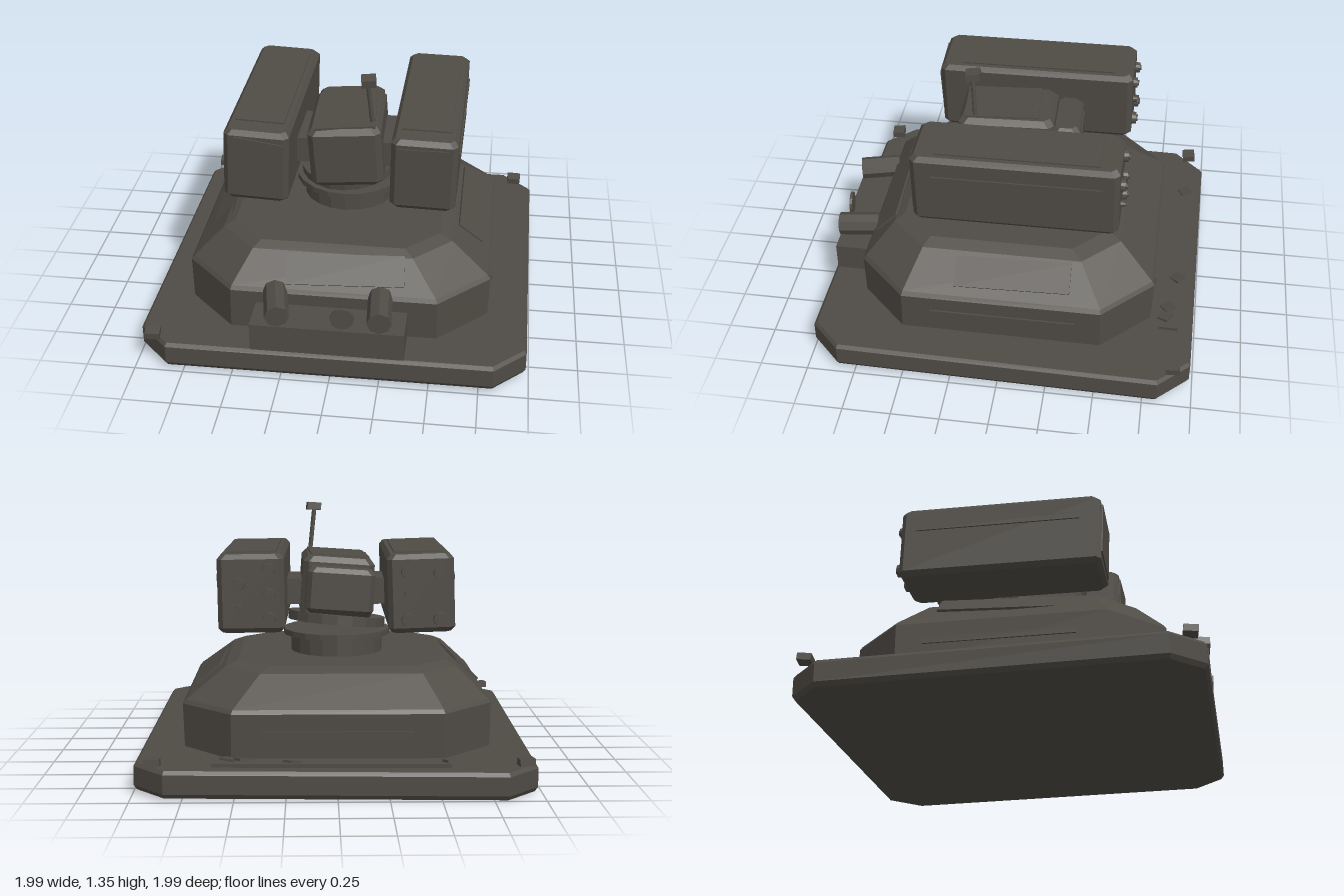
import * as THREE from 'three';

const armour = new THREE.MeshStandardMaterial({ color: 0x4f4b45, flatShading: true });
armour.name = 'armourGrey';

// Mesh helper: name, geometry, position, rotation
function add(parent, name, geo, pos = [0, 0, 0], rot = [0, 0, 0]) {
  const m = new THREE.Mesh(geo, armour);
  m.name = name;
  m.position.set(...pos);
  m.rotation.set(...rot);
  parent.add(m);
  return m;
}
const box = (w, h, d) => new THREE.BoxGeometry(w, h, d);
const cyl = (r, h, n = 16, r2 = r) => new THREE.CylinderGeometry(r, r2, h, n);

// Loft through octagonal rings, each [y, x0, x1, z0, z1, cornerCut]
function loft(rings) {
  const loops = rings.map(([y, x0, x1, z0, z1, c]) => [
    [x1, z1 - c], [x1, z0 + c], [x1 - c, z0], [x0 + c, z0],
    [x0, z0 + c], [x0, z1 - c], [x0 + c, z1], [x1 - c, z1],
  ].map(([x, z]) => [x, y, z]));
  const v = [];
  const tri = (a, b, c) => v.push(...a, ...b, ...c);
  for (let k = 0; k + 1 < loops.length; k++) {
    const lo = loops[k], up = loops[k + 1];
    for (let i = 0; i < 8; i++) {
      const j = (i + 1) % 8;
      tri(lo[i], lo[j], up[j]);
      tri(lo[i], up[j], up[i]);
    }
  }
  const bottom = loops[0], top = loops[loops.length - 1];
  for (let i = 1; i < 7; i++) {
    tri(top[0], top[i], top[i + 1]);
    tri(bottom[0], bottom[i + 1], bottom[i]);
  }
  const g = new THREE.BufferGeometry();
  g.setAttribute('position', new THREE.Float32BufferAttribute(v, 3));
  g.computeVertexNormals();
  return g;
}

// Box with all edges bevelled by b, centred on the origin
function bevelBox(w, h, d, b) {
  const x = w / 2, y = h / 2, z = d / 2, i = b * 0.8;
  return loft([
    [-y, -x + i, x - i, -z + i, z - i, b],
    [-y + b, -x, x, -z, z, b],
    [y - b, -x, x, -z, z, b],
    [y, -x + i, x - i, -z + i, z - i, b],
  ]);
}

// Launcher pod with lid, front door, side rib and rear nozzles
function makePod(name, x, roll, doorRoll, nozzles) {
  const pod = new THREE.Group();
  const s = Math.sign(x);
  pod.name = name;
  pod.position.set(x, 1.436, -0.04);
  pod.rotation.set(0.015, -0.012, roll);
  add(pod, 'podBody', bevelBox(0.335, 0.395, 1.05, 0.025));
  add(pod, 'podLid', box(0.25, 0.012, 0.83), [0, 0.199, -0.01]);
  add(pod, 'podDoor', box(0.25, 0.3, 0.014), [0, 0.005, 0.526], [0, 0, doorRoll]);
  add(pod, 'podRib', box(0.012, 0.035, 0.86), [s * 0.17, 0.075, -0.01]);
  for (const [nx, ny, r] of nozzles) {
    add(pod, 'nozzle', cyl(r, 0.035, 12, r * 0.9), [nx, ny, -0.53], [Math.PI / 2, 0, 0]);
    add(pod, 'nozzleCore', cyl(r * 0.5, 0.01, 10), [nx, ny, -0.55], [Math.PI / 2, 0, 0]);
  }
  return pod;
}

export function createModel() {
  const model = new THREE.Group();
  model.name = 'launcherTurret';

  // Base slab, slightly tilted
  add(model, 'baseSlab', loft([
    [-0.068, -0.975, 0.975, -0.975, 0.975, 0.15],
    [-0.045, -0.99, 0.99, -0.99, 0.99, 0.16],
    [0.05, -0.99, 0.99, -0.99, 0.99, 0.16],
    [0.068, -0.975, 0.975, -0.975, 0.975, 0.15],
  ]), [0, 0.583, 0], [-0.008, -0.008, 0.008]);

  // Corner blocks on three corners
  for (const [x, z, r] of [[-0.91, -0.91, 0.1], [0.895, -0.895, 0], [-0.915, 0.915, 0.1]]) {
    add(model, 'cornerBlock', box(0.075, 0.035, 0.07), [x, 0.672, z], [0.08, r, -0.05]);
  }

  // Rear deck strip with small loose plates
  add(model, 'rearDeckStrip', box(1.16, 0.02, 0.1), [0.03, 0.656, -0.865], [0, -0.012, 0]);
  for (const [x, z, r] of [[0.46, -0.85, 0.6], [0.53, -0.84, -0.5], [0.22, -0.89, 0.8], [-0.55, -0.9, 0.4]]) {
    add(model, 'deckPlate', box(0.07, 0.012, 0.06), [x, 0.672, z], [0.15, r, 0.1]);
  }

  // Hull with sloped shoulders
  add(model, 'hull', loft([
    [0.65, -0.785, 0.775, -0.76, 0.78, 0.25],
    [0.875, -0.79, 0.782, -0.768, 0.785, 0.26],
    [0.895, -0.775, 0.765, -0.755, 0.77, 0.25],
    [1.04, -0.625, 0.575, -0.575, 0.635, 0.19],
    [1.065, -0.57, 0.51, -0.5, 0.585, 0.17],
  ]));

  // Plates lying on the shoulders
  add(model, 'frontShoulderPlate', box(0.6, 0.16, 0.012), [0.05, 0.985, 0.7], [-0.78, 0, 0.04]);
  add(model, 'leftShoulderPlate', box(0.012, 0.16, 0.6), [0.665, 0.985, -0.04], [0.03, 0, 0.92]);
  add(model, 'rightShoulderPlate', box(0.012, 0.16, 0.66), [-0.668, 1.005, 0.01], [0.02, 0.05, -0.84]);

  // Long ribs on the hull walls
  for (const x of [-0.79, 0.782]) add(model, 'sideRib', box(0.014, 0.03, 0.75), [x, 0.78, 0]);
  add(model, 'rearRib', box(0.75, 0.03, 0.014), [0, 0.775, -0.768]);

  // Front equipment box and lamps
  add(model, 'frontBox', box(0.775, 0.15, 0.22), [-0.012, 0.735, 0.87]);
  add(model, 'rightLamp', cyl(0.062, 0.22, 8), [-0.28, 0.875, 0.87], [Math.PI / 2 + 0.05, 0, -0.2]);
  add(model, 'leftLamp', cyl(0.062, 0.22, 8), [0.243, 0.877, 0.87], [Math.PI / 2 + 0.05, 0, -0.07]);
  add(model, 'middleLamp', cyl(0.06, 0.015, 12), [0.065, 0.873, 0.96], [Math.PI / 2, 0, -0.1]);

  // Turret neck, flange and tilted turntable
  add(model, 'neck', cyl(0.246, 0.12, 20), [-0.01, 1.105, 0]);
  add(model, 'flange', cyl(0.288, 0.03, 20), [-0.01, 1.172, 0]);
  add(model, 'turntable', cyl(0.262, 0.05, 20), [-0.01, 1.238, 0], [0.08, 0, 0.09]);

  // Central housing with lid and rear block
  const head = new THREE.Group();
  head.name = 'head';
  head.position.set(-0.005, 1.415, 0.07);
  head.rotation.set(0.01, 0.03, 0.07);
  add(head, 'housing', bevelBox(0.38, 0.33, 0.5, 0.03));
  add(head, 'housingLid', box(0.31, 0.014, 0.39), [0, 0.166, 0.03], [0, 0.04, 0]);
  add(head, 'rearBlock', bevelBox(0.355, 0.24, 0.15, 0.025), [-0.01, 0, -0.31]);
  add(head, 'rearVent', box(0.25, 0.14, 0.014), [0, 0, -0.387]);
  model.add(head);

  // Cross beam joining the pods
  add(model, 'crossBeam', box(0.56, 0.138, 0.317), [0, 1.396, 0.052]);

  // Pods
  model.add(makePod('rightPod', -0.43, -0.035, -0.11,
    [[0.07, -0.13, 0.036], [-0.09, -0.13, 0.036], [0.07, 0, 0.018], [-0.09, 0.1, 0.03], [0.07, 0.11, 0.03]]));
  model.add(makePod('leftPod', 0.422, -0.015, 0.02,
    [[-0.09, 0.12, 0.034], [-0.09, -0.005, 0.034], [-0.09, -0.125, 0.034], [0.06, 0.05, 0.034], [0.06, -0.07, 0.018]]));

  // Antenna
  add(model, 'antennaRod', cyl(0.012, 0.27, 8), [0.123, 1.685, 0.235], [0.06, 0, 0.1]);
  add(model, 'antennaHead', box(0.075, 0.04, 0.075), [0.113, 1.827, 0.238], [0.1, 0.12, 0.06]);

  return model;
}
